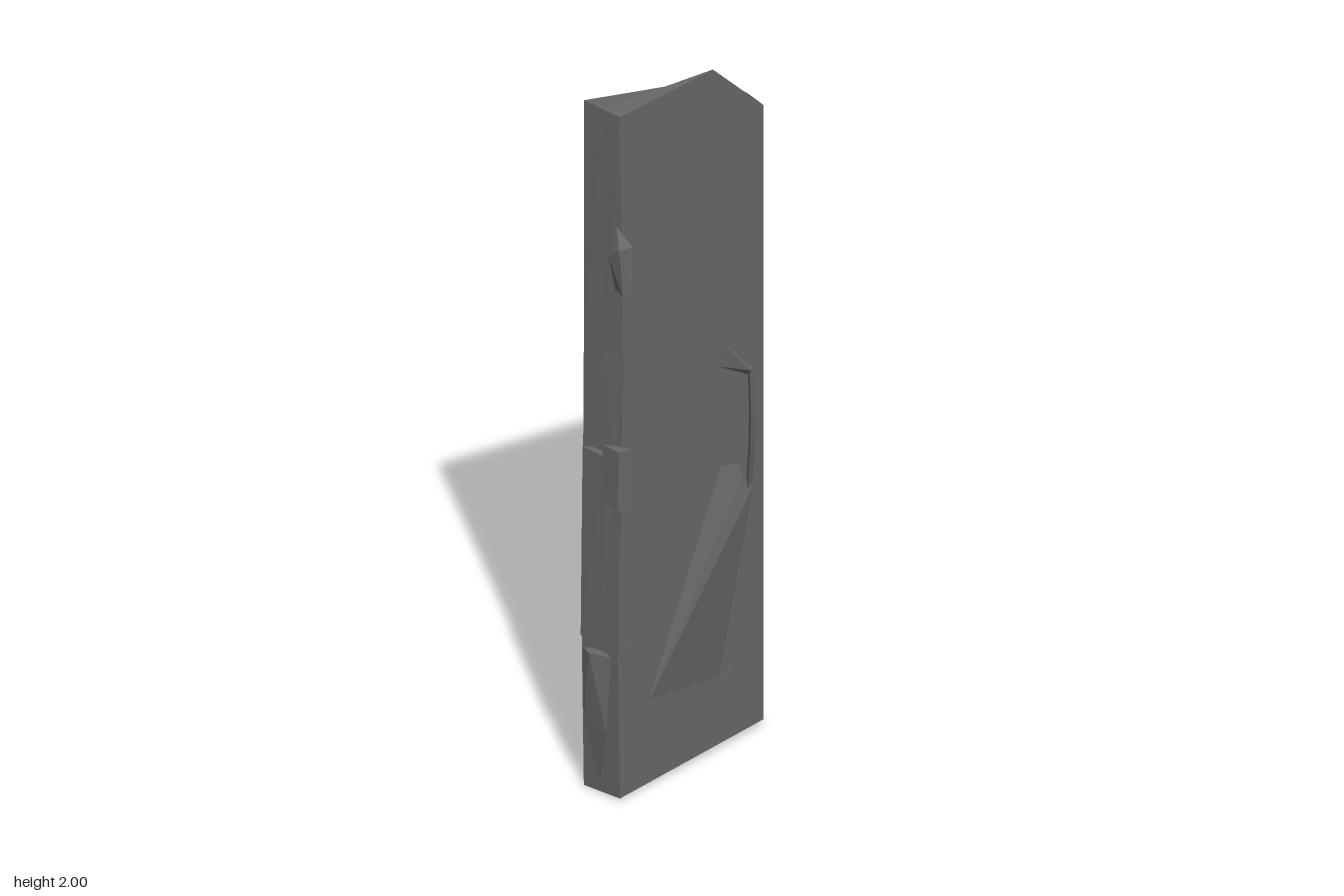
import * as THREE from 'three';
import { ConvexGeometry } from 'three/addons/geometries/ConvexGeometry.js';

const V = (p) => new THREE.Vector3(...p);
const at = (loop, z) => loop.map(([x, y]) => [x, y, z]);

// Triangles joining two loops of equal length
function strip(a, b) {
  const out = [];
  a.forEach((p, i) => {
    const j = (i + 1) % a.length;
    out.push(p, b[i], b[j], p, b[j], a[j]);
  });
  return out;
}

// Flat cap, optionally with a hole, facing +z or -z
function cap(loop, z, back = false, hole = null) {
  const v2 = (l) => l.map(([x, y]) => new THREE.Vector2(x, y));
  const all = at(hole ? [...loop, ...hole] : loop, z);
  const tris = THREE.ShapeUtils.triangulateShape(v2(loop), hole ? [v2(hole)] : []);
  return tris.flatMap(([a, b, c]) => (back ? [a, c, b] : [a, b, c]).map((i) => all[i]));
}

function soup(points) {
  const g = new THREE.BufferGeometry();
  g.setAttribute('position', new THREE.Float32BufferAttribute(points.flat(), 3));
  g.computeVertexNormals();
  return g;
}

export function createModel() {
  const group = new THREE.Group();
  const grey = new THREE.MeshStandardMaterial({ color: 0x686868, flatShading: true });
  grey.name = 'dark grey';

  const add = (name, geometry) => {
    const mesh = new THREE.Mesh(geometry, grey);
    mesh.name = name;
    group.add(mesh);
  };
  const hull = (name, points) => add(name, new ConvexGeometry(points.map(V)));

  // Door slab: front, middle and back outlines, with a cut upper corner
  const front = [[-0.25, 0.01], [0.275, 0.025], [0.275, 0.9], [0.275, 1.82],
    [0.09, 2], [-0.25, 2], [-0.238, 1.3], [-0.257, 0.4]];
  const middle = [[-0.25, 0.005], [0.272, 0.03], [0.284, 0.9], [0.284, 1.825],
    [0.18, 1.915], [-0.25, 2], [-0.245, 1.3], [-0.257, 0.4]];
  const back = [[-0.25, 0], [0.225, 0.06], [0.272, 0.9], [0.272, 1.8],
    [0.27, 1.832], [-0.25, 2], [-0.25, 1.3], [-0.257, 0.4]];
  const zf = 0.017, zm = -0.045, zb = -0.11, zp = -0.08;

  // Recessed panel on the back
  const rim = [[-0.15, 0.17], [0.11, 0.13], [0.18, 0.27], [0.19, 1.74], [0.09, 1.85], [-0.15, 1.8]];
  const panel = rim.map(([x, y]) => [0.015 + (x - 0.015) * 0.93, 0.98 + (y - 0.98) * 0.985]);

  add('doorSlab', soup([
    ...cap(front, zf),
    ...strip(at(front, zf), at(middle, zm)),
    ...strip(at(middle, zm), at(back, zb)),
    ...cap(back, zb, true, rim),
  ]));
  add('backPanel', soup([
    ...strip(at(rim, zb), at(panel, zp)),
    ...cap(panel, zp, true),
  ]));

  // Thin creases on the front
  const crease = (name, a, b, w = 0.006) => hull(name, [
    [...a, zf - 0.004], [...b, zf - 0.004],
    [(a[0] + b[0]) / 2 - w / 2, (a[1] + b[1]) / 2 - w / 2, zf - 0.004],
    [(a[0] + b[0]) / 2 + w / 2, (a[1] + b[1]) / 2 + w / 2, zf + 0.003],
  ]);
  crease('longCrease', [-0.17, 1.6], [-0.165, 0.36]);
  crease('lowerCrease', [-0.07, 0.155], [0.12, 0.15]);
  crease('cornerCrease', [0.11, 0.15], [0.18, 0.28]);
  crease('sideCrease', [-0.225, 0.36], [-0.215, 0.52]);

  // Armrest wedge rising to a ledge below the handle
  hull('armrest', [
    [-0.16, 0.22, 0.012], [0.11, 0.18, 0.012], [0.12, 0.83, 0.012],
    [0.185, 0.81, 0.012], [0.128, 0.825, 0.085], [0.155, 0.79, 0.098],
  ]);

  // Pull handle: bowed strap with a pointed bracket at the top
  const strap = [[0.145, 0.79, 0.09], [0.136, 0.92, 0.108], [0.136, 1.02, 0.11], [0.142, 1.14, 0.1]];
  for (let i = 0; i < strap.length - 1; i++) {
    const ends = strap.slice(i, i + 2);
    hull('handleStrap', ends.flatMap(([x, y, z]) => [
      [x - 0.009, y, z + 0.006], [x + 0.012, y, z + 0.002], [x, y, z - 0.01],
    ]));
  }
  hull('handleBracket', [
    [0.12, 1.195, 0.012], [0.172, 1.12, 0.012], [0.115, 1.12, 0.012],
    [0.132, 1.14, 0.112], [0.155, 1.13, 0.105], [0.145, 1.115, 0.09],
  ]);

  // Handle fixings showing through the back
  for (const y of [0.8, 1.16]) {
    hull('handleFixing', [
      [0.12, y + 0.03, -0.12], [0.19, y + 0.02, -0.112], [0.13, y - 0.04, -0.075],
      [0.18, y, -0.075], [0.12, y + 0.01, -0.075],
    ]);
  }

  // Hinges on the side edge
  hull('upperHinge', [
    [-0.255, 1.68, 0.01], [-0.277, 1.63, 0.04], [-0.24, 1.63, 0.052], [-0.263, 1.49, 0.04],
    [-0.213, 1.5, 0.016], [-0.24, 1.5, 0.05], [-0.275, 1.6, 0.0], [-0.25, 1.49, 0.0],
  ]);
  hull('middleHinge', [
    [-0.277, 1.04, 0.04], [-0.24, 1.04, 0.05], [-0.235, 1.03, 0.01], [-0.275, 1.04, -0.02],
    [-0.277, 0.87, 0.035], [-0.24, 0.86, 0.045], [-0.235, 0.86, 0.01], [-0.275, 0.87, -0.02],
  ]);

  // Raised edge strips between and below the hinges
  hull('edgeStrip', [
    [-0.265, 1.0, -0.1], [-0.268, 1.0, -0.02], [-0.24, 1.0, -0.06],
    [-0.272, 0.45, -0.1], [-0.27, 0.45, -0.02], [-0.24, 0.45, -0.06],
  ]);
  hull('upperEdgeStrip', [
    [-0.262, 1.48, -0.05], [-0.268, 1.04, -0.09], [-0.262, 1.04, 0.005], [-0.235, 1.2, -0.05],
  ]);
  hull('lowerEdgeStrip', [
    [-0.285, 0.42, -0.06], [-0.275, 0.42, -0.09], [-0.265, 0.42, 0.0], [-0.24, 0.42, -0.05],
    [-0.27, 0.2, -0.09], [-0.272, 0.2, -0.01], [-0.252, 0.02, -0.05],
  ]);

  return group;
}
